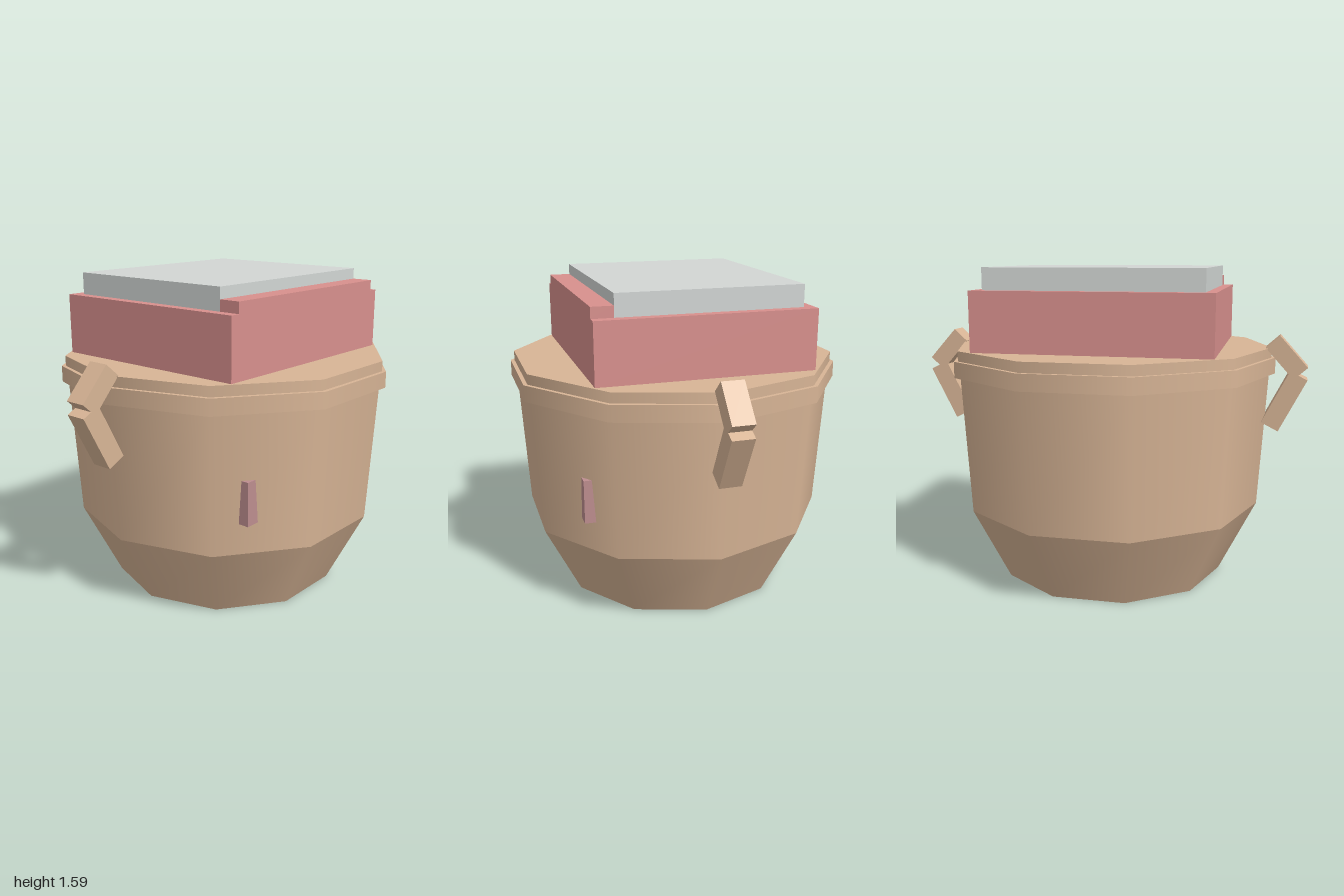
import * as THREE from 'three';

const material = (name, color) => new THREE.MeshStandardMaterial({ name, color });

export function createModel() {
  const model = new THREE.Group();
  const tan = material('tan', 0xd8b596);
  const pink = material('pink', 0xd8908d);
  const mauve = material('mauve', 0xbd8d8f);
  const grey = material('grey', 0xd2d6d4);

  function add(name, geometry, mat, x, y, z, parent = model) {
    const mesh = new THREE.Mesh(geometry, mat);
    mesh.name = name;
    mesh.position.set(x, y, z);
    parent.add(mesh);
    return mesh;
  }

  // Ten-sided ring section with a corner on the x axis
  function section(name, rBottom, rTop, y0, y1, open = false) {
    const geometry = new THREE.CylinderGeometry(rTop, rBottom, y1 - y0, 10, 1, open, Math.PI / 10);
    return add(name, geometry, tan, 0, (y0 + y1) / 2, 0);
  }

  // Box given by its lower and upper corners
  function block(name, mat, [x0, y0, z0], [x1, y1, z1]) {
    const geometry = new THREE.BoxGeometry(x1 - x0, y1 - y0, z1 - z0);
    return add(name, geometry, mat, (x0 + x1) / 2, (y0 + y1) / 2, (z0 + z1) / 2);
  }

  // Pot body, rim and lid
  section('lowerBody', 0.582, 0.77, 0, 0.375);
  section('upperBody', 0.77, 0.81, 0.375, 1.062);
  section('rim', 0.84, 0.84, 1.062, 1.142);
  section('lid', 0.82, 0.82, 1.142, 1.192);

  // Box on the lid with its raised front lip and grey slab
  block('topBox', pink, [-0.58, 1.192, -0.53], [0.58, 1.485, 0.53]);
  block('frontLip', pink, [-0.53, 1.485, 0.425], [0.53, 1.538, 0.53]);
  block('topSlab', grey, [-0.53, 1.485, -0.477], [0.53, 1.592, 0.425]);

  for (const side of [1, -1]) {
    // Small studs poking out of the front corners of the body
    const stud = block('stud', mauve, [0.43, 0.53, 0.485], [0.528, 0.742, 0.585]);
    stud.position.x *= side;

    // Bent handle made of two tilted bars
    const handle = new THREE.Group();
    handle.name = side > 0 ? 'leftHandle' : 'rightHandle';
    add('upperBar', new THREE.BoxGeometry(0.092, 0.209, 0.108), tan, side * 0.896, 1.148, 0, handle)
      .rotation.z = side * 0.734;
    add('lowerBar', new THREE.BoxGeometry(0.096, 0.297, 0.108), tan, side * 0.89, 0.928, 0, handle)
      .rotation.z = -side * 0.471;
    model.add(handle);
  }

  return model;
}
